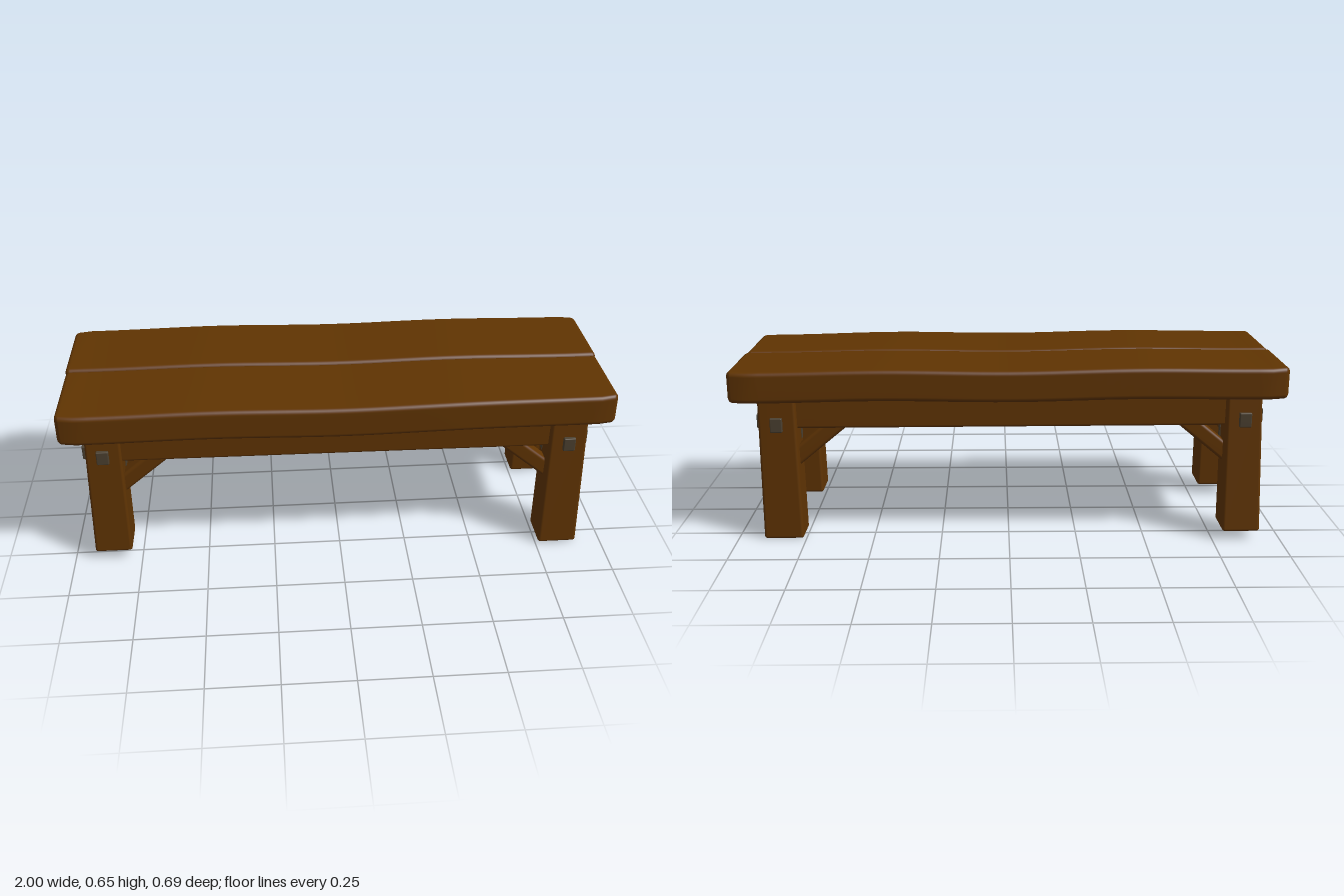
import * as THREE from 'three';
import { mergeVertices } from 'three/addons/utils/BufferGeometryUtils.js';

// Rounded block with a subdivided length; deform(p) reshapes each vertex
function block(w, h, d, r, nx, deform) {
  const geo = new THREE.BoxGeometry(w, h, d, nx, 7, 7);
  geo.deleteAttribute('uv');
  geo.deleteAttribute('normal');
  const pos = geo.attributes.position;
  // gather the outer three rows of the grid inside the rounded edge
  const remap = (v, size, n) => {
    const i = Math.round((v / size + 0.5) * n);
    const half = size / 2;
    if (i < 3) return -half + r * (1 - Math.tan((1 - i / 3) * Math.PI / 4));
    if (i > n - 3) return half - r * (1 - Math.tan((1 - (n - i) / 3) * Math.PI / 4));
    return -half + r + (size - 2 * r) * (i - 3) / (n - 6);
  };
  const p = new THREE.Vector3();
  const core = new THREE.Vector3();
  const limit = new THREE.Vector3(w / 2 - r, h / 2 - r, d / 2 - r);
  const low = limit.clone().negate();
  for (let i = 0; i < pos.count; i++) {
    p.fromBufferAttribute(pos, i);
    p.set(remap(p.x, w, nx), remap(p.y, h, 7), remap(p.z, d, 7));
    core.copy(p).clamp(low, limit);
    p.sub(core).normalize().multiplyScalar(r).add(core);
    if (deform) deform(p);
    pos.setXYZ(i, p.x, p.y, p.z);
  }
  const merged = mergeVertices(geo, 1e-5);
  merged.computeVertexNormals();
  return merged;
}

export function createModel() {
  const wood = new THREE.MeshStandardMaterial({ color: 0x603402 });
  wood.name = 'brown wood';
  const iron = new THREE.MeshStandardMaterial({ color: 0x4b4030 });
  iron.name = 'grey iron';

  const bench = new THREE.Group();
  bench.name = 'bench';
  const add = (name, geo, mat, x, y, z, rotZ = 0) => {
    const mesh = new THREE.Mesh(geo, mat);
    mesh.name = name;
    mesh.position.set(x, y, z);
    mesh.rotation.z = rotZ;
    bench.add(mesh);
  };
  // Thin grey plate between two corners
  const plate = (name, x0, x1, y0, y1, z0, z1) => add(name,
    new THREE.BoxGeometry(x1 - x0, y1 - y0, z1 - z0), iron,
    (x0 + x1) / 2, (y0 + y1) / 2, (z0 + z1) / 2);

  // Two seat planks, gently warped with softened outer corners
  for (const side of [1, -1]) {
    const warp = (p) => {
      const outer = Math.max(0, side * p.z / 0.17);
      const end = Math.max(0, (Math.abs(p.x) - 0.94) / 0.06);
      p.z -= side * outer * 0.022 * end * end;
      if (side > 0) p.z -= outer * 0.018 * THREE.MathUtils.smoothstep(p.x, 0.3, 1);
      else p.z += outer * 0.006 * THREE.MathUtils.smoothstep(-p.x, 0.2, 1);
      // slow wave along the top, slight fall towards +x
      p.y += 0.004 * Math.cos(p.x * 6.5 - 3.14) * (1 - p.x * p.x * 0.5) - 0.004 * p.x;
    };
    add(side > 0 ? 'frontPlank' : 'backPlank',
      block(side > 0 ? 1.99 : 2, 0.114, side > 0 ? 0.346 : 0.34, 0.017, 46, warp),
      wood, 0, 0.589, side > 0 ? 0.172 : -0.177);
  }

  // Legs: name, top x0 x1 z0 z1, bottom x0 x1 z0 z1, foot height
  const legs = [
    ['frontLeftLeg', [0.767, 0.9, 0.167, 0.3], [0.76, 0.905, 0.182, 0.321], 0.003],
    ['backLeftLeg', [0.767, 0.9, -0.309, -0.18], [0.76, 0.905, -0.307, -0.184], 0],
    ['frontRightLeg', [-0.91, -0.785, 0.15, 0.293], [-0.922, -0.785, 0.159, 0.3], 0.036],
    ['backRightLeg', [-0.91, -0.785, -0.308, -0.18], [-0.922, -0.785, -0.346, -0.21], 0.034],
  ];
  const top = 0.537;
  for (const [name, a, b, foot] of legs) {
    const height = top - foot;
    const geo = block(0.13, height, 0.13, 0.01, 7, (p) => {
      const t = p.y / height + 0.5;
      const at = (i) => THREE.MathUtils.lerp(b[i], a[i], t);
      p.x = THREE.MathUtils.lerp(at(0), at(1), p.x / 0.13 + 0.5);
      p.z = THREE.MathUtils.lerp(at(2), at(3), p.z / 0.13 + 0.5);
    });
    add(name, geo, wood, 0, foot + height / 2, 0);

    // Iron pegs on the two outward faces
    const sx = Math.sign(a[0]);
    const sz = Math.sign(a[2]);
    const pegY = sx > 0 ? 0.44 : 0.455;
    const pegX = sx > 0 ? 0.835 : -0.85;
    const t = (pegY - foot) / height;
    const faceX = THREE.MathUtils.lerp(sx > 0 ? b[1] : b[0], sx > 0 ? a[1] : a[0], t);
    const faceZ = THREE.MathUtils.lerp(sz > 0 ? b[3] : b[2], sz > 0 ? a[3] : a[2], t);
    add(name + 'FacePeg', block(0.044, 0.053, 0.026, 0.004, 7), iron, pegX, pegY, faceZ);
    add(name + 'EndPeg', block(0.028, 0.053, 0.041, 0.004, 7), iron, faceX, pegY, sz * 0.242);

    // Grey strip on the inner face, behind the long rail
    const innerX = sx > 0 ? 0.766 : -0.785;
    const z0 = (sz > 0 ? a[2] : a[3]) + sz * 0.011;
    const z1 = sz * 0.215;
    plate(name + 'InnerStrip', innerX - 0.003, innerX + 0.003, 0.36, 0.53,
      Math.min(z0, z1), Math.max(z0, z1));
  }

  // Long rails and their diagonal braces
  for (const sz of [1, -1]) {
    const z = sz * 0.237;
    const label = sz > 0 ? 'front' : 'back';
    const rail = block(1.62, 0.118, 0.085, 0.01, 24, (p) => { p.y -= 0.004 * p.x; });
    add(label + 'Rail', rail, wood, -0.008, 0.479, z);
    for (const sx of [1, -1]) {
      add(label + (sx > 0 ? 'Left' : 'Right') + 'Brace', block(0.25, 0.06, 0.06, 0.012, 8),
        wood, sx > 0 ? 0.692 : -0.712, sx > 0 ? 0.373 : 0.384, z, -sx * 0.69);
    }
  }

  // Deep end rails between the legs
  for (const sx of [1, -1]) {
    add(sx > 0 ? 'leftEndRail' : 'rightEndRail', block(0.085, 0.188, 0.39, 0.01, 7),
      wood, sx > 0 ? 0.835 : -0.85, 0.441, -0.005);
  }

  // Worn grey patches just under the seat
  plate('legTopPatch', 0.896, 0.902, 0.516, 0.53, -0.3, -0.19);
  plate('endRailPatch', 0.873, 0.879, 0.511, 0.53, -0.176, -0.125);
  plate('frontRailPatch', -0.24, 0.1, 0.526, 0.535, 0.274, 0.2805);
  return bench;
}
